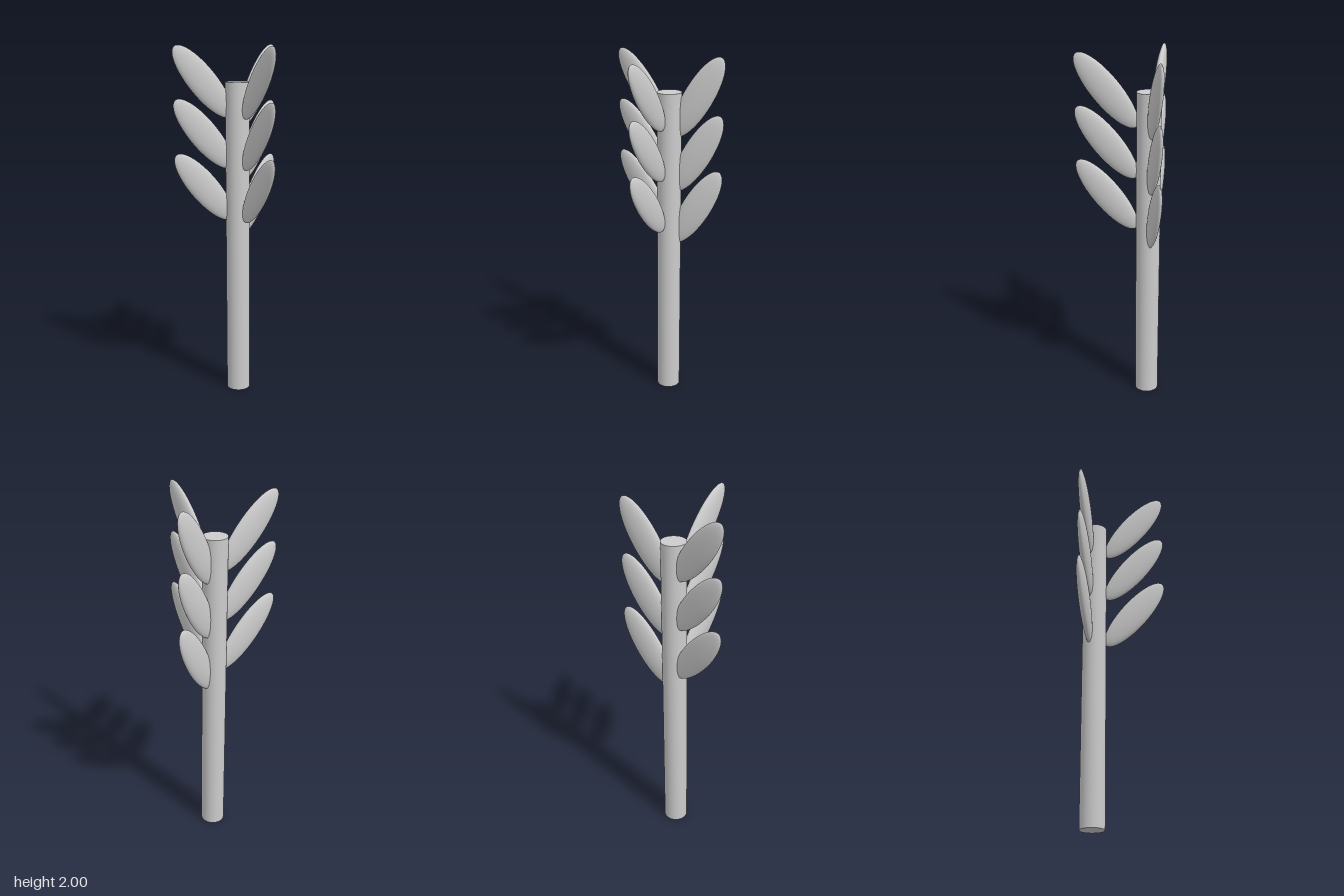
import * as THREE from 'three';

export function createModel() {
  const model = new THREE.Group();
  const material = new THREE.MeshStandardMaterial({ color: 0xcccccc });

  // Straight round stem
  const stem = new THREE.Mesh(new THREE.CylinderGeometry(0.067, 0.067, 1.8, 48), material);
  stem.name = 'stem';
  stem.position.set(0.014, 0.9, -0.111);
  model.add(stem);

  // Flattened ellipsoid leaf, long axis along x
  const leafGeometry = new THREE.SphereGeometry(1, 40, 24);
  leafGeometry.rotateZ(Math.PI / 2);
  leafGeometry.scale(0.25, 0.08, 0.029);

  // Three columns of leaves: centre, turn around the stem, rise angle, heights
  const columns = [
    { name: 'leftLeaf', x: 0.17, z: -0.111, turn: 0, rise: 60, heights: [1.155, 1.465, 1.775] },
    { name: 'frontLeaf', x: -0.049, z: 0.108, turn: -107, rise: 50, heights: [1.224, 1.52, 1.802] },
    { name: 'backLeaf', x: -0.156, z: -0.201, turn: 157, rise: 50, heights: [1.224, 1.52, 1.802] },
  ];
  for (const { name, x, z, turn, rise, heights } of columns) {
    heights.forEach((y, i) => {
      const leaf = new THREE.Mesh(leafGeometry, material);
      leaf.name = name + (i + 1);
      leaf.position.set(x, y, z);
      leaf.rotation.set(0, THREE.MathUtils.degToRad(turn), THREE.MathUtils.degToRad(rise), 'YXZ');
      model.add(leaf);
    });
  }
  return model;
}
